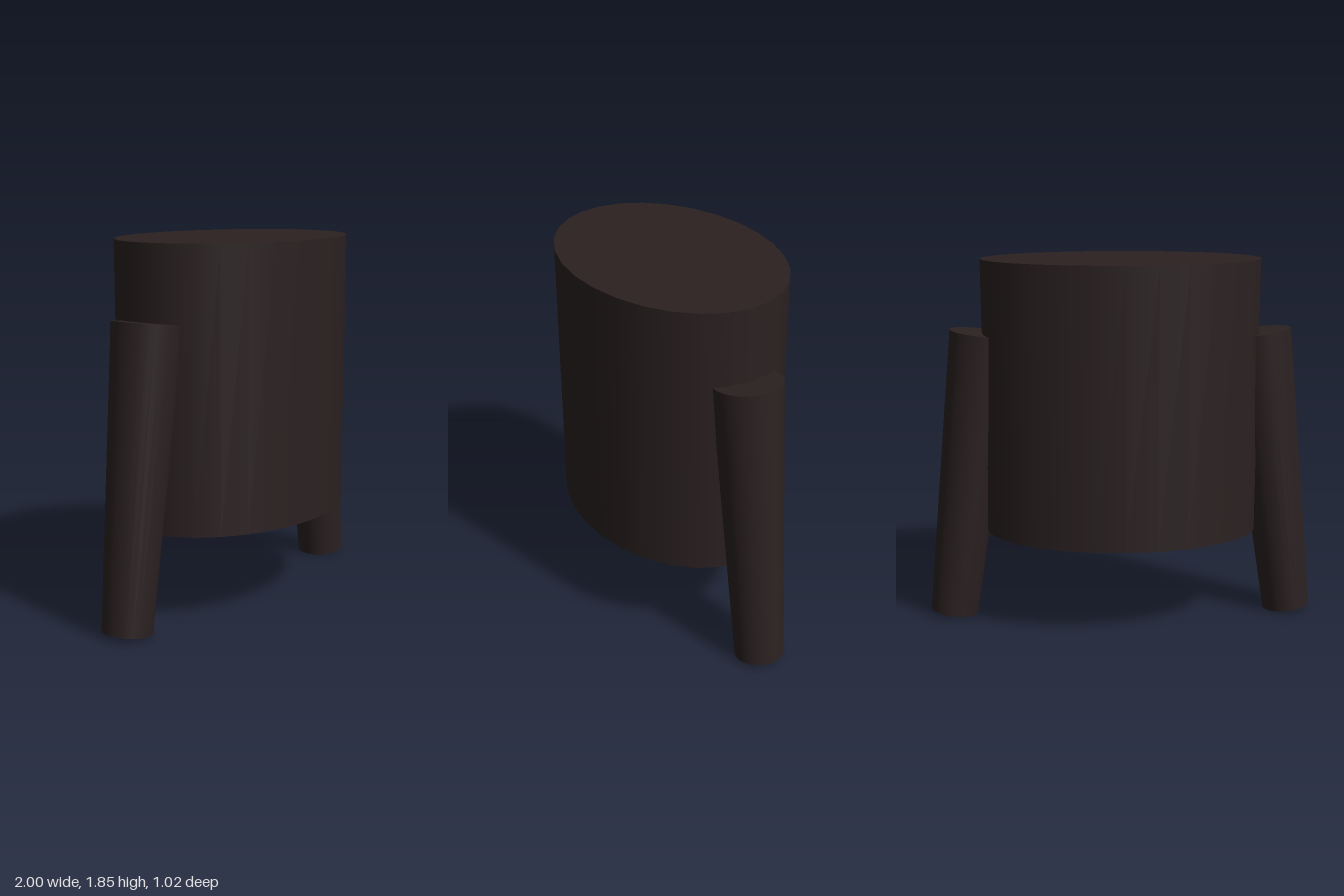
import * as THREE from 'three';

export function createModel() {
  const group = new THREE.Group();
  const cloth = new THREE.MeshStandardMaterial({ color: 0x2b2121 });
  cloth.name = 'dark brown cloth';

  // Oval torso, barely tapering towards the hem
  const torsoGeometry = new THREE.CylinderGeometry(0.71, 0.7, 1.395, 28);
  torsoGeometry.scale(1, 1, 0.72);
  const torso = new THREE.Mesh(torsoGeometry, cloth);
  torso.name = 'torso';
  torso.position.y = 1.1575;
  group.add(torso);

  // Tapered sleeves, leaning outwards from shoulder to cuff
  const up = new THREE.Vector3(0, 1, 0);
  for (const [name, side] of [['leftSleeve', 1], ['rightSleeve', -1]]) {
    const cuff = new THREE.Vector3(side * 0.878, 0.015, 0);
    const shoulder = new THREE.Vector3(side * 0.7, 1.481, 0);
    const axis = shoulder.clone().sub(cuff);
    const sleeve = new THREE.Mesh(
      new THREE.CylinderGeometry(0.17, 0.123, axis.length(), 28), cloth);
    sleeve.name = name;
    sleeve.position.copy(cuff).add(shoulder).multiplyScalar(0.5);
    sleeve.quaternion.setFromUnitVectors(up, axis.normalize());
    group.add(sleeve);
  }
  return group;
}
